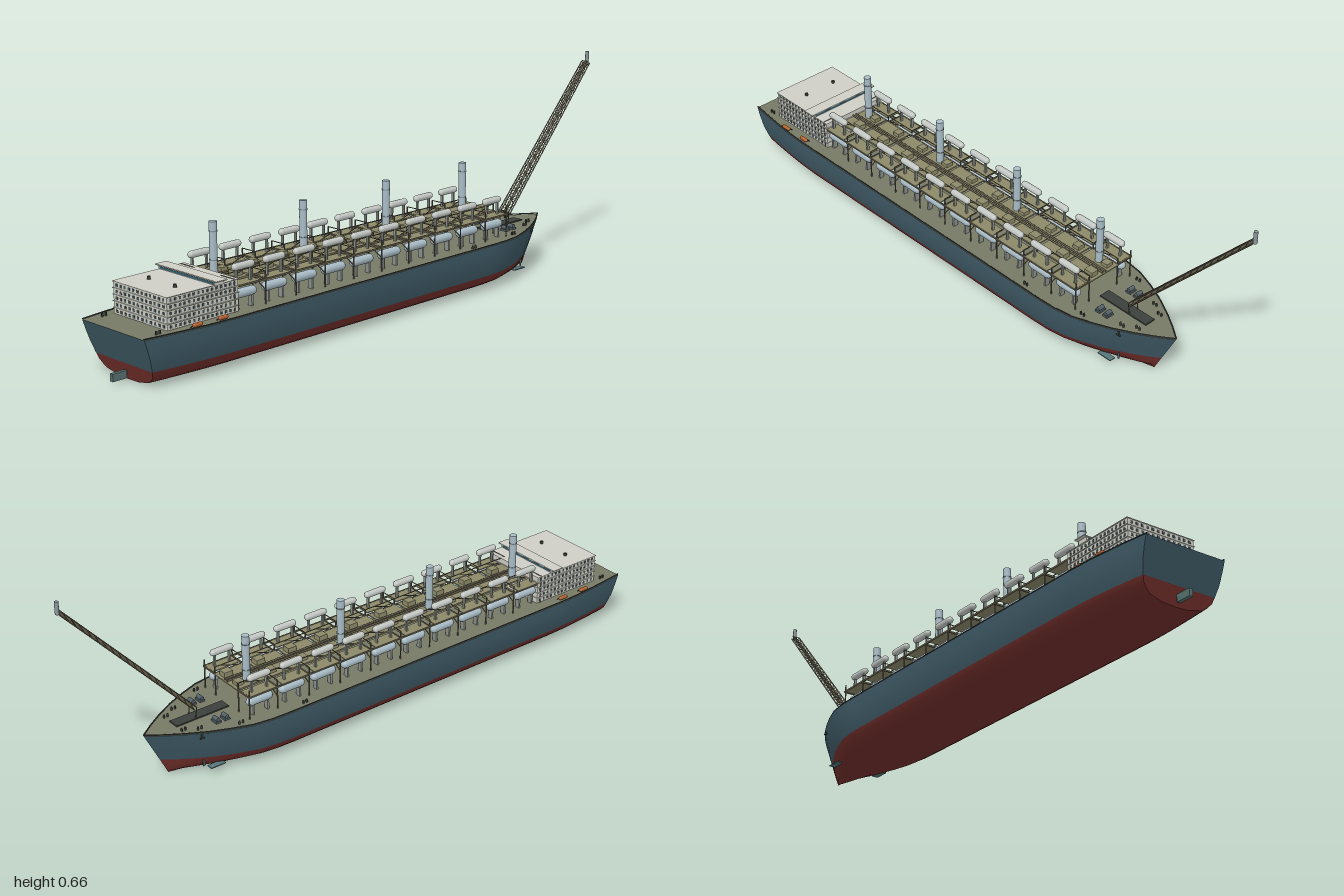
import * as THREE from 'three';
import { mergeGeometries } from 'three/addons/utils/BufferGeometryUtils.js';

const HULL = 0x3f5a66, RED = 0x74302c, DECK = 0x777a66, WHITE = 0xcfcfc6, STEEL = 0xa9bcc6,
  TAN = 0x8d8a6a, TRUSS = 0x6a6350, DARK = 0x3c403c, GLASS = 0x35606e, ORANGE = 0xb5622f;
const DECK_Y = 0.15;

const V = (x, y, z) => new THREE.Vector3(x, y, z);
const box = (w, h, d, x, y, z) => new THREE.BoxGeometry(w, h, d).translate(x, y, z);

// Round bar between two points
function bar(a, b, r, sides = 6) {
  const dir = b.clone().sub(a);
  const g = new THREE.CylinderGeometry(r, r, dir.length(), sides);
  g.applyQuaternion(new THREE.Quaternion().setFromUnitVectors(V(0, 1, 0), dir.clone().normalize()));
  const m = a.clone().add(b).multiplyScalar(0.5);
  return g.translate(m.x, m.y, m.z);
}

// Horizontal vessel along x with domed ends
function tank(x, y, z, r, length) {
  return new THREE.CapsuleGeometry(r, length - 2 * r, 3, 14).rotateZ(Math.PI / 2).translate(x, y, z);
}

// Surface through rows of points
function skin(rows) {
  const n = rows[0].length, index = [];
  for (let i = 0; i < rows.length - 1; i++)
    for (let j = 0; j < n - 1; j++) {
      const a = i * n + j, b = a + n;
      index.push(a, a + 1, b, a + 1, b + 1, b);
    }
  const g = new THREE.BufferGeometry().setFromPoints(rows.flat());
  g.setIndex(index);
  g.computeVertexNormals();
  return g;
}

// Hull rules: deck plan (x, half beam) and section (height, share of the beam)
const plan = [[-0.99, 0.133], [-0.93, 0.141], [-0.86, 0.149], [-0.79, 0.155], [-0.72, 0.158], [-0.4, 0.158], [0, 0.158],
  [0.36, 0.158], [0.42, 0.156], [0.48, 0.147], [0.54, 0.126], [0.6, 0.1], [0.66, 0.067], [0.71, 0.035], [0.755, 0.001]];
const section = [[0, 0], [0.002, 0.33], [0.012, 0.66], [0.022, 0.77], [0.035, 0.86], [0.052, 0.905],
  [0.085, 0.97], [0.12, 0.993], [DECK_Y, 1]];

function hullPoint([px, beam], [y, share], side) {
  const u = (px + 0.99) / 1.745, t = y / DECK_Y;
  return V(THREE.MathUtils.lerp(-0.94 - 0.05 * t, 0.68 + 0.075 * t, u), y, side * beam * share);
}

export function createModel() {
  const ship = new THREE.Group();
  ship.name = 'ship';
  function add(name, color, geos) {
    const mat = new THREE.MeshStandardMaterial({ color });
    const mesh = new THREE.Mesh(mergeGeometries(geos.map(g => g.deleteAttribute('uv'))), mat);
    mesh.name = name;
    ship.add(mesh);
  }

  // Hull: red bottom, dark topsides, transom and deck
  const low = section.slice(0, 6), high = section.slice(5);
  const descending = (p, s) => [...s].reverse().map(q => hullPoint(p, q, 1));
  add('hullBottom', RED, [skin(plan.map(p => [...descending(p, low), ...low.slice(1).map(q => hullPoint(p, q, -1))]))]);
  add('hullTopsides', HULL, [
    skin(plan.map(p => descending(p, high))),
    skin(plan.map(p => high.map(q => hullPoint(p, q, -1))))]);
  const across = s => s.map(q => [hullPoint(plan[0], q, -1), hullPoint(plan[0], q, 1)]);
  add('transomBottom', RED, [skin(across(low))]);
  add('transomTop', HULL, [skin(across(high))]);
  add('deck', DECK, [skin(plan.map(p => [-1, 1].map(s => hullPoint(p, section.at(-1), s))))]);
  add('rudder', 0x55706f, [box(0.048, 0.022, 0.012, -0.976, 0.019, 0)]);

  // Low rail along the deck edge
  const rail = [];
  for (const s of [-1, 1])
    for (let i = 0; i < plan.length - 1; i++) {
      const [a, b] = [plan[i], plan[i + 1]].map(p => V(p[0], DECK_Y + 0.003, s * Math.max(p[1] - 0.002, 0)));
      rail.push(bar(a, b, 0.002, 5));
    }
  add('deckEdgeRail', DARK, rail);

  // Accommodation block with stacked floors and rows of windows
  const floors = [], panes = [];
  for (let k = 0; k < 5; k++) {
    const y = DECK_Y + 0.0095 + k * 0.0185;
    floors.push(box(0.25, 0.0165, 0.226, -0.772, y, 0), box(0.254, 0.002, 0.232, -0.772, y + 0.009, 0));
    for (const s of [-1, 1])
      for (let i = 0; i < 15; i++) panes.push(box(0.007, 0.008, 0.002, -0.884 + i * 0.016, y, s * 0.1132));
    for (let i = 0; i < 12; i++) panes.push(box(0.002, 0.008, 0.008, -0.8972, y, -0.099 + i * 0.018));
  }
  add('accommodationBlock', WHITE, floors);
  add('cabinWindows', 0x4a5558, panes);
  add('bridge', WHITE, [
    box(0.034, 0.012, 0.236, -0.718, 0.247, 0),
    box(0.04, 0.003, 0.258, -0.718, 0.2545, 0)]);
  add('bridgeWindows', GLASS, [box(0.036, 0.006, 0.226, -0.718, 0.248, 0)]);
  add('roofVents', DARK, [-0.055, 0.055].map(z => bar(V(-0.82, 0.243, z), V(-0.82, 0.252, z), 0.005, 10)));

  // Lifeboats
  const boats = [], davits = [];
  for (const s of [-1, 1])
    for (const x of [-0.82, -0.73]) {
      boats.push(tank(x, 0.159, s * 0.145, 0.006, 0.034));
      for (const d of [-0.012, 0.012])
        davits.push(bar(V(x + d, DECK_Y, s * 0.132), V(x + d, 0.164, s * 0.145), 0.0014));
    }
  add('lifeboats', ORANGE, boats);
  add('davits', DARK, davits);

  // Ten plant modules: platforms, frames and two levels of vessels on each side
  const platform = [], frame = [], lower = [], upper = [], saddles = [], equipment = [];
  const step = 0.1144, first = -0.61;
  for (let i = 0; i < 10; i++) {
    const x = first + i * step;
    platform.push(box(0.105, 0.004, 0.12, x, 0.222, 0));
    equipment.push(box(0.03, 0.016, 0.026, x + 0.028, 0.232, 0.03), box(0.024, 0.012, 0.024, x + 0.03, 0.23, -0.032));
    for (const s of [-1, 1]) {
      const z = s * 0.092;
      lower.push(tank(x, 0.193, z, 0.0135, 0.09));
      upper.push(tank(x, 0.27, z, 0.0105, 0.08));
      platform.push(box(0.092, 0.003, 0.044, x, 0.222, z));
      for (const d of [-0.026, 0.026]) {
        saddles.push(box(0.005, 0.038, 0.008, x + d, 0.242, z));
        saddles.push(box(0.006, 0.034, 0.016, x + d, 0.167, z));
      }
      // Side frame with diagonal brace
      const zf = s * 0.112;
      frame.push(bar(V(x - 0.03, 0.224, s * 0.058), V(x + 0.03, 0.244, s * 0.058), 0.0013));
      frame.push(bar(V(x - 0.05, DECK_Y, zf), V(x - 0.05, 0.244, zf), 0.0022));
      frame.push(bar(V(x - 0.05, 0.244, zf), V(x - 0.05, 0.244, s * 0.058), 0.0015));
      frame.push(bar(V(x - 0.05, 0.19, zf), V(x - 0.05, 0.222, s * 0.058), 0.0015));
      frame.push(bar(V(x - 0.05, DECK_Y, s * 0.058), V(x - 0.05, 0.244, s * 0.058), 0.0022));
    }
    frame.push(box(0.004, 0.005, 0.232, x - 0.05, 0.221, 0));
  }
  for (const s of [-1, 1]) {
    for (const z of [0.058, 0.114]) frame.push(box(1.115, 0.005, 0.004, -0.087, 0.222, s * z));
    frame.push(bar(V(-0.645, 0.244, s * 0.058), V(0.47, 0.244, s * 0.058), 0.0015));
    for (const z of [0.058, 0.112]) frame.push(bar(V(0.468, DECK_Y, s * z), V(0.468, 0.244, s * z), 0.0022));
  }
  frame.push(box(0.004, 0.005, 0.232, 0.468, 0.221, 0));
  add('modulePlatforms', TAN, platform);
  add('moduleFrames', TRUSS, frame);
  add('lowerVessels', STEEL, lower);
  add('upperVessels', 0xc3c8c4, upper);
  add('vesselSaddles', 0x8b918c, saddles);
  add('moduleEquipment', TAN, equipment);
  add('centrePipes', TRUSS, [-0.006, 0.006].map(z => bar(V(-0.645, 0.228, z), V(0.47, 0.228, z), 0.003, 8)));

  // Four tall towers
  const towers = [], bands = [];
  for (let i = 0; i < 4; i++) {
    const x = first + i * 3 * step;
    towers.push(bar(V(x, 0.215, -0.031), V(x, 0.372, -0.031), 0.0115, 18));
    for (const y of [0.26, 0.343]) bands.push(bar(V(x, y, -0.031), V(x, y + 0.003, -0.031), 0.0128, 18));
  }
  add('towers', STEEL, towers);
  add('towerBands', 0x7f8f96, bands);

  // Flare boom: tapering lattice with a central pipe
  const foot = V(0.59, 0.187, 0), head = V(0.988, 0.625, 0), lattice = [];
  const depthAxis = V(head.y - foot.y, foot.x - head.x, 0).normalize();
  const node = (t, s, e) => foot.clone().lerp(head, t).addScaledVector(depthAxis, e * 0.005)
    .add(V(0, 0, s * THREE.MathUtils.lerp(0.02, 0.013, t)));
  const bays = 18;
  for (const e of [-1, 1])
    for (const s of [-1, 1]) {
      lattice.push(bar(node(0, s, e), node(1, s, e), 0.0017));
      for (let i = 0; i < bays; i++) {
        const a = i / bays, b = (i + 1) / bays, m = (a + b) / 2;
        lattice.push(bar(node(a, s, e), node(m, 0, e), 0.001, 4), bar(node(m, 0, e), node(b, s, e), 0.001, 4));
        if (e > 0) lattice.push(bar(node(a, s, 1), node(b, s, -1), 0.001, 4));
      }
    }
  for (const t of [0, 1]) for (const e of [-1, 1]) lattice.push(bar(node(t, -1, e), node(t, 1, e), 0.0017));
  add('flareBoom', 0x77705a, lattice);
  add('flarePipe', TRUSS, [bar(foot, head, 0.0042, 8)]);
  add('flareTip', 0x8c979b, [bar(V(0.994, 0.622, 0), V(0.994, 0.66, 0), 0.006, 12)]);
  add('boomSupports', TRUSS, [-1, 1].map(s => bar(V(0.59, DECK_Y, s * 0.016), node(0, s, -1), 0.0016)));

  // Foredeck: walkway, winches and bollards
  add('foredeckWalkway', DARK, [box(0.18, 0.004, 0.036, 0.565, 0.152, 0)]);
  const winches = [], bollards = [];
  for (const s of [-1, 1]) {
    for (const x of [0.52, 0.55]) {
      winches.push(bar(V(x, 0.16, s * 0.052), V(x, 0.16, s * 0.074), 0.0065, 12));
      winches.push(box(0.018, 0.006, 0.026, x, 0.153, s * 0.063));
    }
    for (const [x, z] of [[0.29, 0.137], [0.5, 0.115], [0.61, 0.068], [0.65, 0.045], [-0.93, 0.115]])
      for (const d of [-0.006, 0.006]) bollards.push(bar(V(x + d, DECK_Y, s * z), V(x + d, 0.16, s * z), 0.003, 8));
  }
  add('winches', 0x55646a, winches);
  add('bollards', DARK, bollards);

  // Bow anchors and small lower bow fins
  const anchors = [], fins = [];
  for (const s of [-1, 1]) {
    anchors.push(box(0.006, 0.014, 0.004, 0.617, 0.141, s * 0.09), box(0.014, 0.003, 0.005, 0.617, 0.134, s * 0.09));
    fins.push(box(0.006, 0.032, 0.003, 0.598, 0.036, s * 0.0632), box(0.05, 0.003, 0.02, 0.565, 0.02, s * 0.079));
  }
  add('anchors', DARK, anchors);
  add('bowFins', 0x55777a, fins);

  return ship;
}
